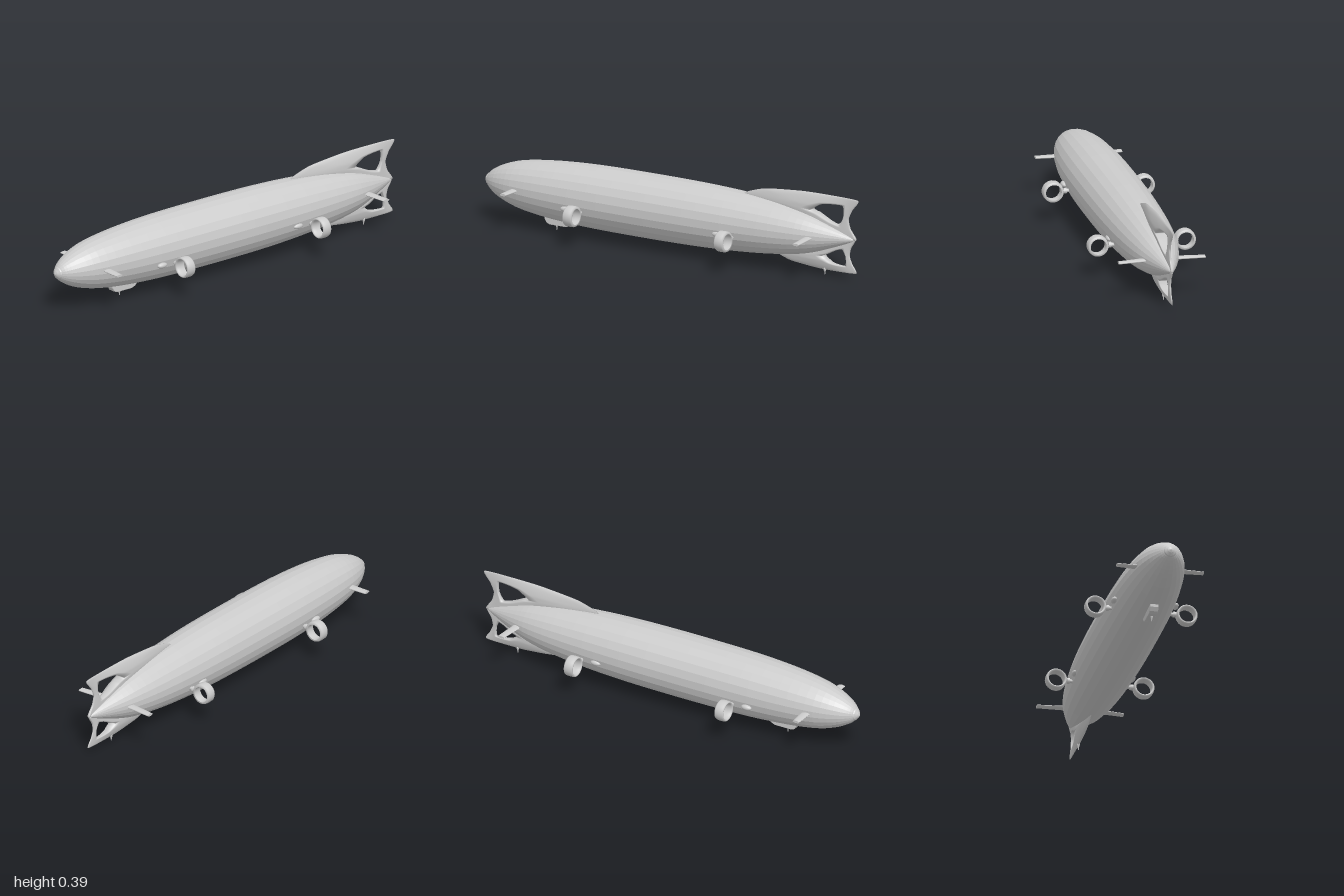
import * as THREE from 'three';

const MID = 0.19; // height of the hull axis
const material = new THREE.MeshStandardMaterial({ color: 0xcccccc });
const faceted = new THREE.MeshStandardMaterial({ color: 0xcccccc, flatShading: true });

function add(parent, name, geometry, mat = material) {
  const mesh = new THREE.Mesh(geometry, mat);
  mesh.name = name;
  parent.add(mesh);
  return mesh;
}

const points = (list) => list.map(([a, b]) => new THREE.Vector2(a, b));

// Body of revolution along z from [radius, z] pairs, tail to nose
function latheZ(profile, sides, phi = 0) {
  return new THREE.LatheGeometry(points(profile), sides, phi).rotateX(Math.PI / 2);
}

// Indexed surface from closed cross-sections that also close on each other
function closedLoops(rows) {
  const n = rows.length, m = rows[0].length, index = [];
  for (let i = 0; i < n; i++) {
    for (let j = 0; j < m; j++) {
      const i2 = (i + 1) % n, j2 = (j + 1) % m;
      const a = i * m + j, b = i2 * m + j, c = i2 * m + j2, d = i * m + j2;
      index.push(a, b, c, a, c, d);
    }
  }
  const g = new THREE.BufferGeometry();
  g.setAttribute('position', new THREE.Float32BufferAttribute(rows.flat(2), 3));
  g.setIndex(index);
  g.computeVertexNormals();
  return g;
}

// Tail fin: a ring of sections between the window outline and the outer outline, [z, height over axis]
function finGeometry() {
  const outer = [[-0.39, 0.138], [-0.5, 0.175], [-0.7, 0.193], [-0.85, 0.195], [-0.998, 0.19], [-0.967, 0.14],
    [-0.947, 0.095], [-0.957, 0.05], [-0.985, 0], [-0.85, 0.02], [-0.65, 0.08], [-0.5, 0.11]];
  const window_ = [[-0.75, 0.115], [-0.77, 0.13], [-0.81, 0.15], [-0.86, 0.157], [-0.918, 0.157], [-0.925, 0.13],
    [-0.922, 0.1], [-0.91, 0.075], [-0.895, 0.06], [-0.85, 0.072], [-0.79, 0.1], [-0.765, 0.107]];
  const curve = (list) => new THREE.CatmullRomCurve3(
    list.map(([z, h]) => new THREE.Vector3(0, h, z)), true, 'catmullrom', 0.3);
  const outerCurve = curve(outer), windowCurve = curve(window_);
  const steps = 72, layers = 7, rows = [];
  for (let i = 0; i < steps; i++) {
    const o = outerCurve.getPoint(i / steps), w = windowCurve.getPoint(i / steps);
    const sharp = THREE.MathUtils.clamp(o.y / 0.1, 0, 1);
    const left = [], right = [];
    for (let k = 0; k <= layers; k++) {
      const v = k / layers, p = w.clone().lerp(o, v);
      const along = Math.sin(Math.PI * THREE.MathUtils.clamp((-0.37 - p.z) / 0.62, 0.06, 0.94));
      const up = Math.sqrt(THREE.MathUtils.clamp((0.2 - p.y) / 0.06, 0, 1));
      const edge = THREE.MathUtils.lerp(1, Math.sqrt(1 - v * v), sharp);
      const half = 0.0015 + 0.02 * along * up * edge;
      left.push([half, p.y, p.z]);
      right.unshift([-half, p.y, p.z]);
    }
    rows.push([...left, ...right]);
  }
  return closedLoops(rows);
}

// Small wing with an oval section, from root to tip along +x
function winglet(parent, name, side, z, rootX, sweep) {
  const g = new THREE.CylinderGeometry(0.8, 1, 1, 14, 4).rotateZ(-Math.PI / 2);
  const pos = g.attributes.position;
  for (let i = 0; i < pos.count; i++) {
    const t = pos.getX(i) + 0.5;
    pos.setXYZ(i, rootX + t * (0.203 - rootX), pos.getY(i) * 0.007, pos.getZ(i) * 0.021 + sweep * t);
  }
  g.computeVertexNormals();
  const mesh = add(parent, name, g);
  mesh.position.set(0, MID - 0.001, z);
  if (side < 0) mesh.scale.x = -1;
}

// Ducted ring engine on a short strut, with a fairing ahead of it
function engine(parent, name, side, x, z, hullX) {
  const group = new THREE.Group();
  group.name = name;
  group.position.set(side * x, 0.148, z);
  parent.add(group);
  add(group, 'duct', latheZ([[0.037, -0.023], [0.045, -0.023], [0.048, -0.017], [0.049, 0], [0.048, 0.018],
    [0.045, 0.023], [0.041, 0.023], [0.037, 0.018], [0.036, 0], [0.037, -0.023]], 32));
  const reach = x - 0.04 - hullX;
  const strut = add(group, 'strut', new THREE.CylinderGeometry(0.009, 0.009, reach + 0.015, 14).rotateZ(Math.PI / 2));
  strut.position.x = -side * (0.04 + (reach + 0.015) / 2);
  const collar = add(group, 'strutCollar', new THREE.CylinderGeometry(0.014, 0.014, 0.013, 14).rotateZ(Math.PI / 2));
  collar.position.x = -side * 0.057;
  const fairing = add(group, 'fairing', new THREE.SphereGeometry(1, 14, 10).scale(0.014, 0.013, 0.027));
  fairing.position.set(side * (hullX + 0.004 - x), 0.005, 0.078);
}

export function createModel() {
  const model = new THREE.Group();
  model.name = 'airship';

  // Hull: 24 long panels
  const hullCurve = new THREE.SplineCurve(points([[0, -0.988], [0.034, -0.91], [0.075, -0.8], [0.1, -0.71],
    [0.121, -0.58], [0.137, -0.4], [0.146, -0.2], [0.149, 0], [0.149, 0.2], [0.147, 0.38], [0.141, 0.53],
    [0.129, 0.68], [0.109, 0.81], [0.08, 0.9], [0.05, 0.955], [0.025, 0.982], [0, 0.997]]));
  const profile = hullCurve.getPoints(48).map((p) => [Math.max(p.x, 0), p.y]);
  add(model, 'hull', latheZ(profile, 24, Math.PI / 24), faceted).position.y = MID;

  // Nose cap
  add(model, 'noseCap', latheZ([[0.026, 0.976], [0.029, 0.979], [0.026, 0.984], [0.013, 0.994], [0, 1]], 24),
    faceted).position.y = MID;

  // Upper fin, and a smaller one hanging below
  const fin = finGeometry();
  add(model, 'upperFin', fin).position.y = MID;
  const lowerFin = add(model, 'lowerFin', fin);
  lowerFin.rotation.z = Math.PI;
  lowerFin.scale.set(0.9, 0.82, 0.71);
  lowerFin.position.set(0, MID, -0.28);

  // Engines and winglets on both sides
  for (const side of [1, -1]) {
    const label = side > 0 ? 'Left' : 'Right';
    engine(model, 'frontEngine' + label, side, 0.214, 0.405, 0.14);
    engine(model, 'rearEngine' + label, side, 0.205, -0.402, 0.13);
    winglet(model, 'frontWinglet' + label, side, 0.778, 0.095, 0.004);
    winglet(model, 'rearWinglet' + label, side, -0.775, 0.06, -0.013);
  }

  // Gondola: flat-sided tub, narrower at the bottom
  const tub = new THREE.Shape(points([[0.675, 0.085], [0.67, 0.05], [0.66, 0.034], [0.645, 0.028], [0.56, 0.028],
    [0.54, 0.036], [0.525, 0.055], [0.525, 0.085]]));
  const tubGeometry = new THREE.ExtrudeGeometry(tub, { depth: 0.032, bevelSize: 0.003, bevelThickness: 0.004, bevelSegments: 2 })
    .translate(0, 0, -0.016).rotateY(-Math.PI / 2);
  add(model, 'gondola', tubGeometry);

  // Antenna pins under the gondola and the lower fin
  for (const [name, z, bottom] of [['frontPin', 0.618, 0], ['rearPin', -0.82, 0.006]]) {
    const pin = add(model, name, latheYPin());
    pin.position.set(0, bottom, z);
  }
  return model;
}

// Stepped pin standing on its tip
function latheYPin() {
  return new THREE.LatheGeometry(points([[0, 0], [0.002, 0.001], [0.003, 0.014], [0.006, 0.019], [0.007, 0.026],
    [0.007, 0.034], [0, 0.034]]), 12);
}
